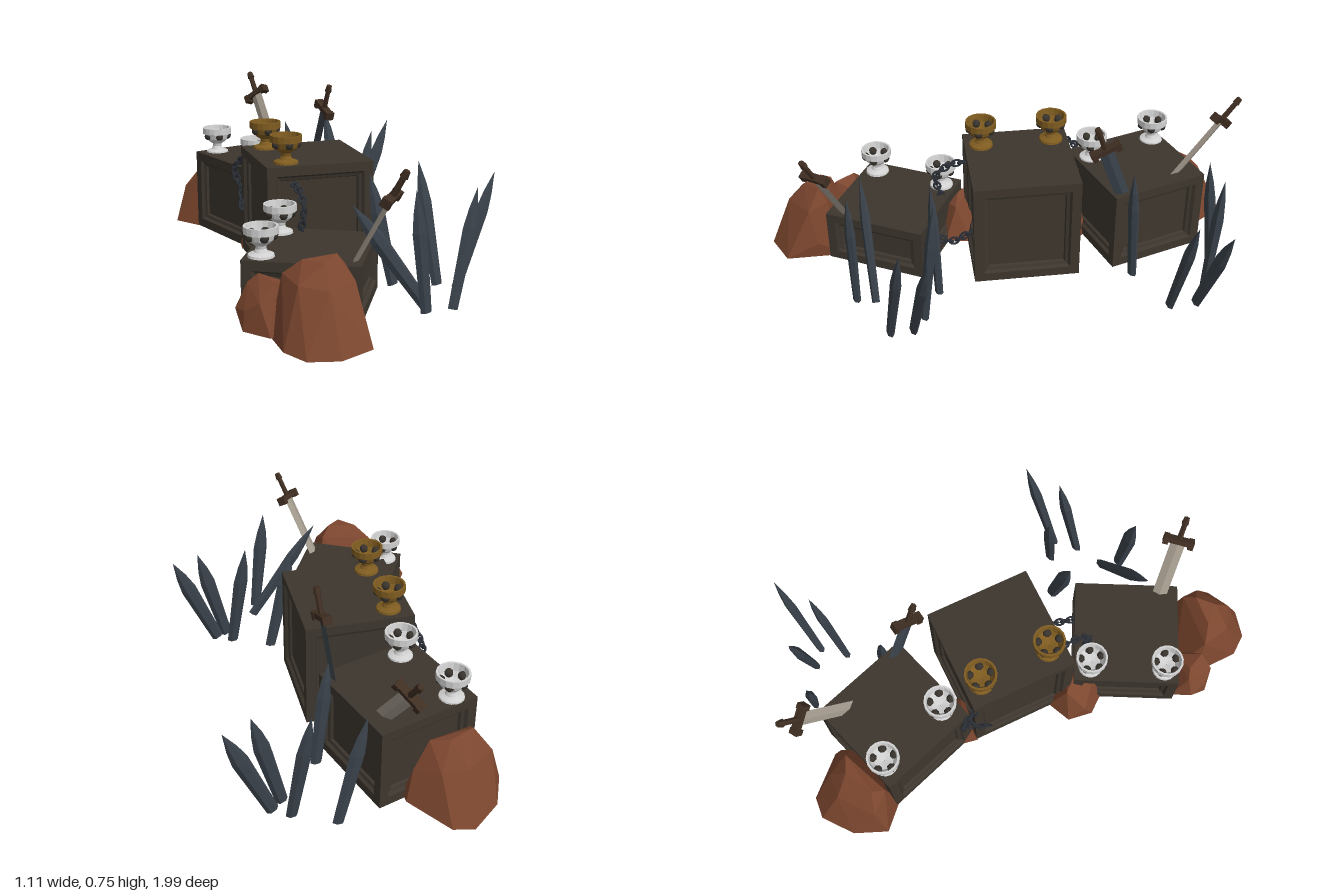
import * as THREE from 'three';
import { ConvexGeometry } from 'three/addons/geometries/ConvexGeometry.js';

const mat = (name, color, side = THREE.FrontSide) => {
  const m = new THREE.MeshStandardMaterial({ color, side });
  m.name = name;
  return m;
};
const V = (p) => new THREE.Vector3(...p);

// Facet a geometry so every face is flat
function faceted(geo) {
  const g = geo.index ? geo.toNonIndexed() : geo;
  g.computeVertexNormals();
  return g;
}

function add(parent, name, geo, material, pos = [0, 0, 0]) {
  const m = new THREE.Mesh(geo, material);
  m.name = name;
  m.position.set(...pos);
  parent.add(m);
  return m;
}

// Crate with four recessed side panels, flat lid and base
function crateGeometry(w, h) {
  const pos = [];
  const quad = (a, b, c, d) => [a, b, c, a, c, d].forEach((p) => pos.push(p.x, p.y, p.z));
  const rings = [[0, 0], [0.038, 0], [0.046, 0.012], [0.058, 0.016], [0.062, 0.026]];
  for (let s = 0; s < 4; s++) {
    const loops = rings.map(([inset, depth]) => [[-1, 0], [1, 0], [1, 1], [-1, 1]].map(([sx, sy]) =>
      new THREE.Vector3(sx * (w / 2 - inset), sy ? h - inset : inset, w / 2 - depth)
        .applyAxisAngle(new THREE.Vector3(0, 1, 0), s * Math.PI / 2)));
    for (let r = 0; r < loops.length - 1; r++) {
      for (let i = 0; i < 4; i++) {
        const j = (i + 1) % 4;
        quad(loops[r][i], loops[r][j], loops[r + 1][j], loops[r + 1][i]);
      }
    }
    quad(...loops[loops.length - 1]);
  }
  const k = w / 2;
  quad(V([-k, h, k]), V([k, h, k]), V([k, h, -k]), V([-k, h, -k]));
  quad(V([-k, 0, -k]), V([k, 0, -k]), V([k, 0, k]), V([-k, 0, k]));
  const g = new THREE.BufferGeometry();
  g.setAttribute('position', new THREE.Float32BufferAttribute(pos, 3));
  g.computeVertexNormals();
  return g;
}

// Goblet: turned body with dark round bosses through the bowl wall
function goblet(metal, bossMat) {
  const g = new THREE.Group();
  const profile = [[0.001, 0], [0.05, 0], [0.048, 0.009], [0.026, 0.017], [0.019, 0.03], [0.021, 0.042],
    [0.034, 0.05], [0.048, 0.064], [0.054, 0.084], [0.064, 0.087], [0.064, 0.114],
    [0.056, 0.114], [0.05, 0.084], [0.036, 0.064], [0.001, 0.056]].map((p) => new THREE.Vector2(...p));
  add(g, 'gobletBody', faceted(new THREE.LatheGeometry(profile, 16)), metal);
  const boss = new THREE.SphereGeometry(0.018, 8, 6);
  for (let i = 0; i < 5; i++) {
    const a = i * Math.PI * 2 / 5;
    add(g, 'gobletBoss', boss, bossMat, [Math.sin(a) * 0.045, 0.078, Math.cos(a) * 0.045]);
  }
  return g;
}

// Sword standing point down from base to pommel; wide = direction of the guard
function sword(base, pommel, wide, bladeMat, hiltMat) {
  const g = new THREE.Group();
  const axis = V(pommel).sub(V(base));
  const L = axis.length();
  axis.normalize();
  const x = V(wide);
  x.addScaledVector(axis, -x.dot(axis)).normalize();
  g.quaternion.setFromRotationMatrix(new THREE.Matrix4().makeBasis(x, axis, x.clone().cross(axis)));
  g.position.set(...base);
  const guardY = L - 0.115;
  const blade = new THREE.CylinderGeometry(0.03, 0.03, guardY, 4).scale(1, 1, 0.3);
  add(g, 'swordBlade', faceted(blade), bladeMat, [0, guardY / 2, 0]);
  add(g, 'swordGuard', new THREE.BoxGeometry(0.1, 0.022, 0.032), hiltMat, [0, guardY, 0]);
  for (const s of [-1, 1]) {
    add(g, 'guardEnd', new THREE.BoxGeometry(0.022, 0.034, 0.038), hiltMat, [s * 0.052, guardY - 0.004, 0]);
  }
  add(g, 'swordGrip', faceted(new THREE.CylinderGeometry(0.011, 0.012, 0.09, 6)), hiltMat, [0, guardY + 0.05, 0]);
  add(g, 'swordPommel', faceted(new THREE.CylinderGeometry(0.012, 0.016, 0.028, 6)), hiltMat, [0, L - 0.014, 0]);
  return g;
}

// Chain of alternating links along a curve
function chain(points, material) {
  const g = new THREE.Group();
  const curve = new THREE.CatmullRomCurve3(points.map(V));
  const n = Math.round(curve.getLength() / 0.026);
  const link = new THREE.TorusGeometry(0.013, 0.0048, 5, 10).scale(1, 1.45, 1);
  for (let i = 0; i <= n; i++) {
    const m = add(g, 'chainLink', link, material);
    m.position.copy(curve.getPointAt(i / n));
    m.quaternion.setFromUnitVectors(new THREE.Vector3(0, 1, 0), curve.getTangentAt(i / n));
    m.rotateY(i % 2 ? Math.PI / 2 + 0.3 : 0.3);
  }
  return g;
}

export function createModel() {
  const root = new THREE.Group();
  root.name = 'treasureCrates';
  const wood = mat('dark wood', 0x3d362e);
  const rockMat = mat('red rock', 0x7d472f);
  const gold = mat('old gold', 0x7f5c20);
  const silver = mat('pale silver', 0xd2d2d2);
  const bossMat = mat('dark boss', 0x38332d);
  const spikeMat = mat('blue grey stone', 0x3a424b);
  const pale = mat('pale blade', 0xa39a8d);
  const hilt = mat('hilt brown', 0x3f2e22);
  const iron = mat('chain iron', 0x2d3139);
  const place = (name, obj, pos) => {
    obj.name = name;
    if (pos) obj.position.set(...pos);
    root.add(obj);
  };

  // Crates
  add(root, 'middleCrate', crateGeometry(0.435, 0.45), wood, [-0.083, 0.07, -0.06]).rotation.y = -0.025;
  add(root, 'backCrate', crateGeometry(0.42, 0.345), wood, [-0.135, 0.073, -0.56]).rotation.y = 0.29;
  add(root, 'frontCrate', crateGeometry(0.43, 0.22), wood, [-0.225, 0.07, 0.455]).rotation.y = -0.51;

  // Goblets
  [[-0.21, -0.21], [-0.21, 0.085]].forEach(([x, z]) => place('goldGoblet', goblet(gold, bossMat), [x, 0.52, z]));
  [[-0.305, 0.415, -0.675], [-0.205, 0.415, -0.385], [-0.285, 0.29, 0.25], [-0.435, 0.29, 0.515]]
    .forEach((p) => place('silverGoblet', goblet(silver, bossMat), p));

  // Rocks
  const rocks = {
    frontRock: [[-0.46, 0.06, 0.7], [-0.465, 0.07, 0.88], [-0.41, 0.06, 0.96], [-0.3, 0.06, 0.99], [-0.165, 0.06, 0.93],
      [-0.155, 0.13, 0.79], [-0.16, 0.06, 0.68], [-0.4, 0.06, 0.62], [-0.42, 0.29, 0.72], [-0.4, 0.28, 0.84],
      [-0.31, 0.27, 0.9], [-0.19, 0.27, 0.82], [-0.2, 0.31, 0.74], [-0.36, 0.345, 0.76], [-0.24, 0.357, 0.77], [-0.3, 0.345, 0.83]],
    sideRock: [[-0.555, 0.14, 0.6], [-0.55, 0.08, 0.68], [-0.47, 0.07, 0.75], [-0.36, 0.07, 0.72], [-0.5, 0.08, 0.54],
      [-0.4, 0.07, 0.55], [-0.54, 0.15, 0.67], [-0.51, 0.23, 0.6], [-0.475, 0.265, 0.62], [-0.44, 0.25, 0.7], [-0.38, 0.22, 0.6], [-0.5, 0.19, 0.72]],
    backRock: [[-0.48, 0.08, -0.78], [-0.42, 0.07, -0.91], [-0.3, 0.06, -1], [-0.215, 0.07, -0.99], [-0.09, 0.1, -0.84],
      [-0.1, 0.07, -0.76], [-0.38, 0.07, -0.68], [-0.43, 0.24, -0.8], [-0.3, 0.26, -0.9], [-0.2, 0.25, -0.89],
      [-0.12, 0.22, -0.81], [-0.36, 0.335, -0.77], [-0.25, 0.35, -0.83], [-0.18, 0.34, -0.8], [-0.37, 0.3, -0.72]],
    gapRock: [[-0.42, 0.09, 0.2], [-0.4, 0.08, 0.1], [-0.3, 0.07, 0.06], [-0.15, 0.07, 0.14], [-0.16, 0.08, 0.25],
      [-0.36, 0.07, 0.28], [-0.41, 0.16, 0.17], [-0.33, 0.24, 0.12], [-0.28, 0.25, 0.18], [-0.2, 0.22, 0.2], [-0.32, 0.2, 0.25]],
    smallGapRock: [[-0.3, 0.07, -0.28], [-0.29, 0.08, -0.34], [-0.14, 0.07, -0.36], [-0.08, 0.07, -0.3], [-0.15, 0.07, -0.25],
      [-0.27, 0.18, -0.3], [-0.2, 0.25, -0.3], [-0.15, 0.22, -0.28], [-0.17, 0.2, -0.34]],
  };
  for (const [name, pts] of Object.entries(rocks)) add(root, name, new ConvexGeometry(pts.map(V)), rockMat);

  // Stone spikes: two clusters, the last leaning one only in the front cluster
  const spikes = [
    [[0.37, 0.055, 0.44], [0.548, 0.495, 0.385]],
    [[0.315, 0.005, 0.53], [0.43, 0.465, 0.48]],
    [[0.31, 0.06, 0.39], [0.248, 0.548, 0.33]],
    [[0.155, 0.055, 0.315], [0.05, 0.51, 0.325]],
    [[0.15, 0.055, 0.65], [0.1, 0.52, 0.655]],
    [[0.178, 0.055, 0.575], [-0.12, 0.47, 0.595]],
  ];
  const spikeProfile = [[0.0001, 0], [0.025, 0], [0.033, 0.66], [0.022, 0.82], [0.0001, 1]].map((p) => new THREE.Vector2(...p));
  const spikeGeo = faceted(new THREE.LatheGeometry(spikeProfile, 6).rotateY(Math.PI / 6).scale(1, 1, 0.6));
  for (const [dx, dz, count] of [[0, 0, 6], [0.01, -1.145, 5]]) {
    const cluster = new THREE.Group();
    spikes.slice(0, count).forEach(([a, b]) => {
      const d = V(b).sub(V(a));
      const m = add(cluster, 'spike', spikeGeo, spikeMat, a);
      m.scale.y = d.length();
      m.quaternion.setFromUnitVectors(new THREE.Vector3(0, 1, 0), d.normalize());
      m.rotateY(0.25);
    });
    place('spikeCluster', cluster, [dx, 0, dz]);
  }

  // Swords stuck into the crates
  place('frontSword', sword([-0.14, 0.27, 0.66], [-0.005, 0.635, 0.815], [0.6, 0.05, -0.7], pale, hilt));
  place('backSword', sword([-0.03, 0.39, -0.69], [-0.07, 0.725, -0.965], [0.5, 0.5, 0.6], pale, hilt));
  place('darkSword', sword([0.08, 0.39, -0.46], [0.113, 0.748, -0.328], [0.1, -0.36, 0.93], spikeMat, hilt));

  // Chains between the crates
  place('upperChain', chain([[-0.2, 0.45, 0.165], [-0.2, 0.44, 0.22], [-0.2, 0.39, 0.28], [-0.205, 0.29, 0.26]], iron));
  place('lowerChain', chain([[-0.01, 0.22, 0.165], [-0.02, 0.18, 0.24], [-0.05, 0.2, 0.32]], iron));
  place('backChain', chain([[-0.29, 0.47, -0.28], [-0.31, 0.41, -0.34], [-0.29, 0.32, -0.31], [-0.31, 0.27, -0.24]], iron));
  return root;
}
